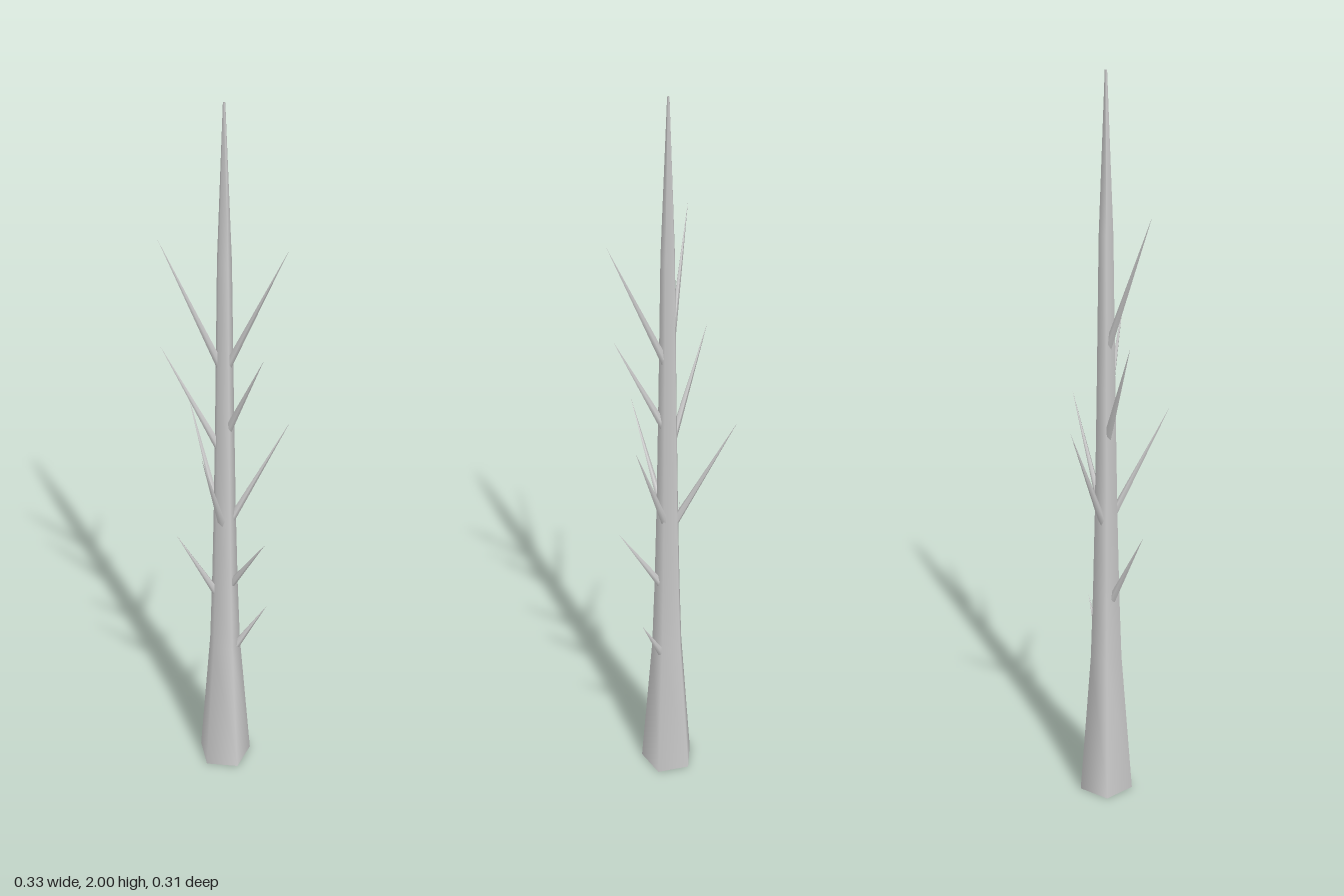
import * as THREE from 'three';

const material = new THREE.MeshStandardMaterial({ color: 0xcccccc, side: THREE.DoubleSide });
const SIDES = 5;
const AXIS = new THREE.Vector3(-0.003, 0, -0.003);

// Trunk profile: [radius, height]
const PROFILE = [
  [0.076, 0], [0.044, 0.42], [0.037, 0.62], [0.031, 0.86],
  [0.025, 1.2], [0.019, 1.6], [0.003, 2],
];

// Branches: height at the trunk surface, then the tip position
const BRANCHES = [
  [0.42, 0.113, 0.55, 0.004],
  [0.62, -0.13, 0.82, 0.039],
  [0.65, 0.104, 0.82, 0.083],
  [0.86, 0.166, 1.14, -0.014],
  [0.85, -0.098, 1.14, -0.153],
  [0.86, -0.061, 1.14, 0.152],
  [1.09, -0.162, 1.36, -0.02],
  [1.15, 0.092, 1.385, 0.097],
  [1.34, -0.159, 1.68, 0.039],
  [1.34, 0.146, 1.665, 0.074],
];

function trunkRadius(y) {
  const i = PROFILE.findIndex((p) => p[1] >= y);
  const [r0, y0] = PROFILE[i - 1];
  const [r1, y1] = PROFILE[i];
  return THREE.MathUtils.mapLinear(y, y0, y1, r0, r1);
}

// A thin spike rooted just inside the trunk
function makeBranch([height, x, y, z]) {
  const tip = new THREE.Vector3(x, y, z);
  const out = new THREE.Vector3(x - AXIS.x, 0, z - AXIS.z).normalize();
  const surface = out.multiplyScalar(trunkRadius(height) * 0.9).add(AXIS);
  surface.y = height;
  const base = surface.clone().lerp(tip, -0.1);
  const dir = tip.clone().sub(base);
  const length = dir.length();
  const geometry = new THREE.ConeGeometry(0.011, length, SIDES, 1, true);
  geometry.translate(0, length / 2, 0);
  const branch = new THREE.Mesh(geometry, material);
  branch.position.copy(base);
  branch.quaternion.setFromUnitVectors(new THREE.Vector3(0, 1, 0), dir.normalize());
  return branch;
}

export function createModel() {
  const model = new THREE.Group();
  model.name = 'bareTree';

  // Five-sided tapering trunk, flared at the foot
  const points = PROFILE.map(([r, y]) => new THREE.Vector2(r, y));
  points.push(new THREE.Vector2(0, 2));
  const trunk = new THREE.Mesh(
    new THREE.LatheGeometry(points, SIDES, THREE.MathUtils.degToRad(29)), material);
  trunk.name = 'trunk';
  trunk.position.copy(AXIS);
  model.add(trunk);

  // Bare upswept branches
  const branches = new THREE.Group();
  branches.name = 'branches';
  BRANCHES.forEach((spec, i) => {
    const branch = makeBranch(spec);
    branch.name = `branch${i + 1}`;
    branches.add(branch);
  });
  model.add(branches);
  return model;
}
